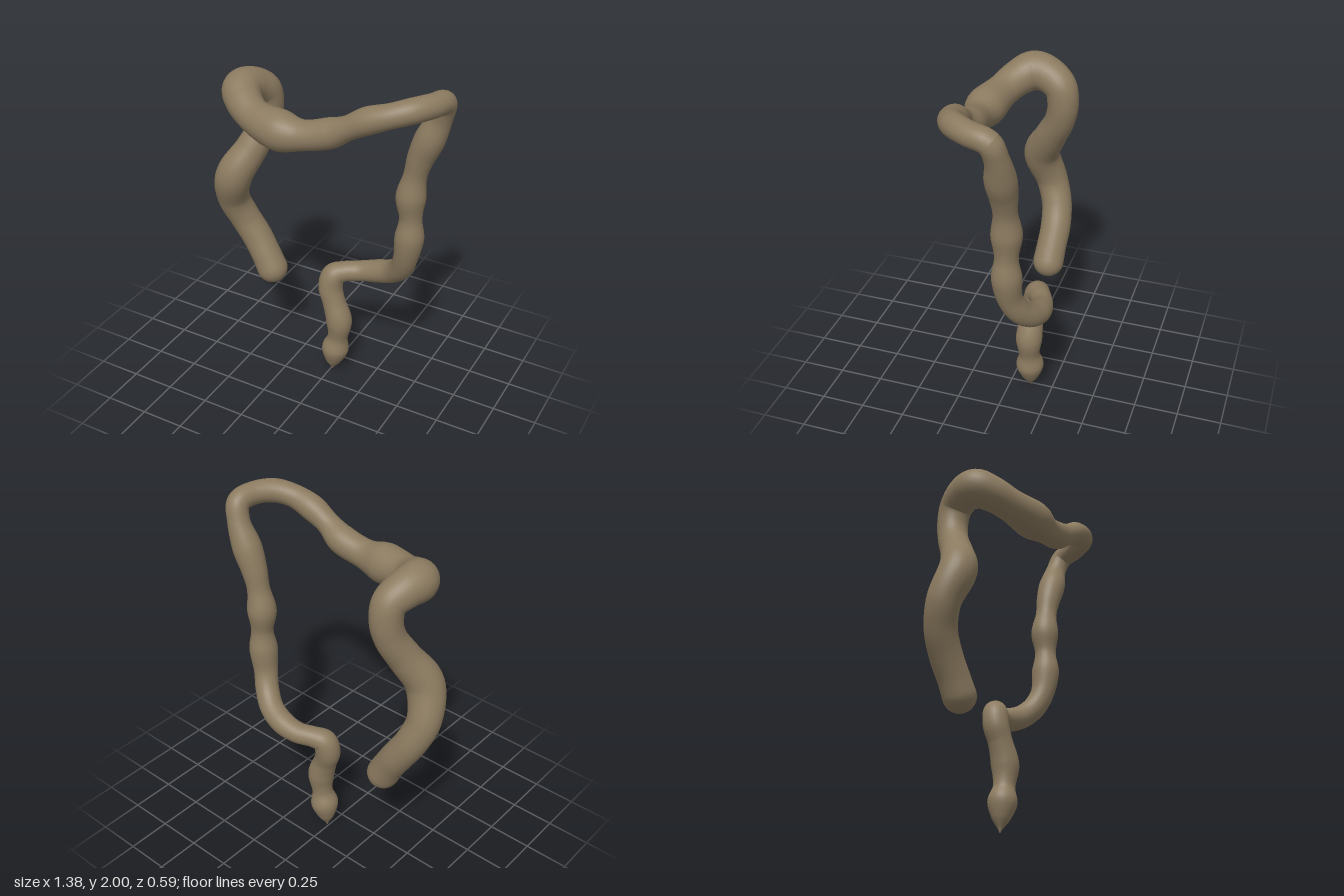
import * as THREE from 'three';

// Centre line and radius: [x, y, z, r]
const ASCENDING = [
  [-0.385, 0.625, -0.1, 0.09], [-0.43, 0.71, -0.105, 0.087], [-0.49, 0.81, -0.11, 0.088],
  [-0.56, 0.93, -0.095, 0.088], [-0.6, 1.07, -0.05, 0.092], [-0.555, 1.25, 0, 0.103],
  [-0.475, 1.41, -0.07, 0.09], [-0.43, 1.54, -0.135, 0.084], [-0.415, 1.65, -0.155, 0.086],
  [-0.42, 1.745, -0.135, 0.09],
];
const TRANSVERSE = [
  [-0.45, 1.795, -0.05, 0.1], [-0.455, 1.8, 0.03, 0.108], [-0.4, 1.77, 0.1, 0.098],
  [-0.3, 1.73, 0.155, 0.092], [-0.13, 1.708, 0.19, 0.108], [0, 1.713, 0.19, 0.08],
  [0.15, 1.755, 0.175, 0.079], [0.25, 1.81, 0.182, 0.063], [0.35, 1.868, 0.175, 0.07],
  [0.46, 1.91, 0.155, 0.063], [0.55, 1.935, 0.1, 0.064], [0.61, 1.937, 0.01, 0.062],
];
const DESCENDING = [
  [0.63, 1.915, -0.095, 0.062], [0.605, 1.82, -0.125, 0.062], [0.555, 1.69, -0.125, 0.08],
  [0.51, 1.57, -0.125, 0.071], [0.485, 1.46, -0.125, 0.063], [0.467, 1.33, -0.125, 0.081],
  [0.472, 1.2, -0.125, 0.062], [0.47, 1.08, -0.125, 0.08], [0.45, 0.94, -0.135, 0.068],
];
const SIGMOID = [
  [0.41, 0.84, -0.17, 0.067], [0.34, 0.77, -0.21, 0.067], [0.24, 0.725, -0.23, 0.067],
  [0.14, 0.7, -0.22, 0.06], [0.05, 0.69, -0.18, 0.06], [0, 0.667, -0.15, 0.069],
  [-0.013, 0.59, -0.135, 0.071], [0.015, 0.5, -0.125, 0.067], [0.053, 0.38, -0.12, 0.076],
  [0.045, 0.26, -0.12, 0.06], [0.03, 0.17, -0.12, 0.08], [0.018, 0.08, -0.12, 0.05],
  [0.01, 0.005, -0.12, 0.004],
];

const SIDES = 28;
const STEPS = 8; // rings between neighbouring centre points

// Rings along the whole path, with a frame carried along without twisting
function makeRings(points) {
  const curve = new THREE.CatmullRomCurve3(points.map(([x, y, z]) => new THREE.Vector3(x, y, z)));
  const radii = new THREE.SplineCurve(points.map((p, i) => new THREE.Vector2(i, p[3])));
  const total = (points.length - 1) * STEPS;
  const normal = new THREE.Vector3(0, 0, 1);
  const rings = [];
  for (let i = 0; i <= total; i++) {
    const t = i / total;
    const tangent = curve.getTangent(t);
    normal.addScaledVector(tangent, -normal.dot(tangent)).normalize();
    rings.push({
      centre: curve.getPoint(t), radius: radii.getPoint(t).y, tangent,
      normal: normal.clone(), side: tangent.clone().cross(normal),
    });
  }
  // Rounded blind end
  const first = rings[0];
  const cap = [];
  for (let k = 0; k < 8; k++) {
    const a = (k / 8) * Math.PI / 2;
    cap.push({
      ...first,
      centre: first.centre.clone().addScaledVector(first.tangent, -first.radius * Math.cos(a)),
      radius: Math.max(first.radius * Math.sin(a), 0.0005),
    });
  }
  // Pointed lower end
  const last = rings[rings.length - 1];
  const tip = { ...last, centre: last.centre.clone().addScaledVector(last.tangent, 0.004), radius: 0.0003 };
  return { rings: [...cap, ...rings, tip], capCount: cap.length };
}

function skin(rings) {
  const position = [];
  const index = [];
  const v = new THREE.Vector3();
  rings.forEach((ring, i) => {
    for (let j = 0; j < SIDES; j++) {
      const a = (j / SIDES) * Math.PI * 2;
      v.copy(ring.centre)
        .addScaledVector(ring.normal, Math.cos(a) * ring.radius)
        .addScaledVector(ring.side, Math.sin(a) * ring.radius);
      position.push(v.x, v.y, v.z);
      if (i === rings.length - 1) continue;
      const p = i * SIDES + j;
      const q = i * SIDES + ((j + 1) % SIDES);
      index.push(p, q, p + SIDES, q, q + SIDES, p + SIDES);
    }
  });
  const geometry = new THREE.BufferGeometry();
  geometry.setAttribute('position', new THREE.Float32BufferAttribute(position, 3));
  geometry.setIndex(index);
  geometry.computeVertexNormals();
  return geometry;
}

export function createModel() {
  const group = new THREE.Group();
  group.name = 'largeIntestine';
  const tissue = new THREE.MeshStandardMaterial({ color: 0x8c7b60 });
  tissue.name = 'tissue';

  const sections = [
    ['ascendingSection', ASCENDING], ['transverseSection', TRANSVERSE],
    ['descendingSection', DESCENDING], ['sigmoidAndRectum', SIGMOID],
  ];
  const { rings, capCount } = makeRings(sections.flatMap(([, points]) => points));

  // Neighbouring sections share a ring so the tube is continuous
  let start = 0;
  let end = capCount;
  sections.forEach(([name, points], i) => {
    end += points.length * STEPS;
    const stop = i === sections.length - 1 ? rings.length : end + 1;
    const mesh = new THREE.Mesh(skin(rings.slice(start, stop)), tissue);
    mesh.name = name;
    group.add(mesh);
    start = end;
  });
  return group;
}
